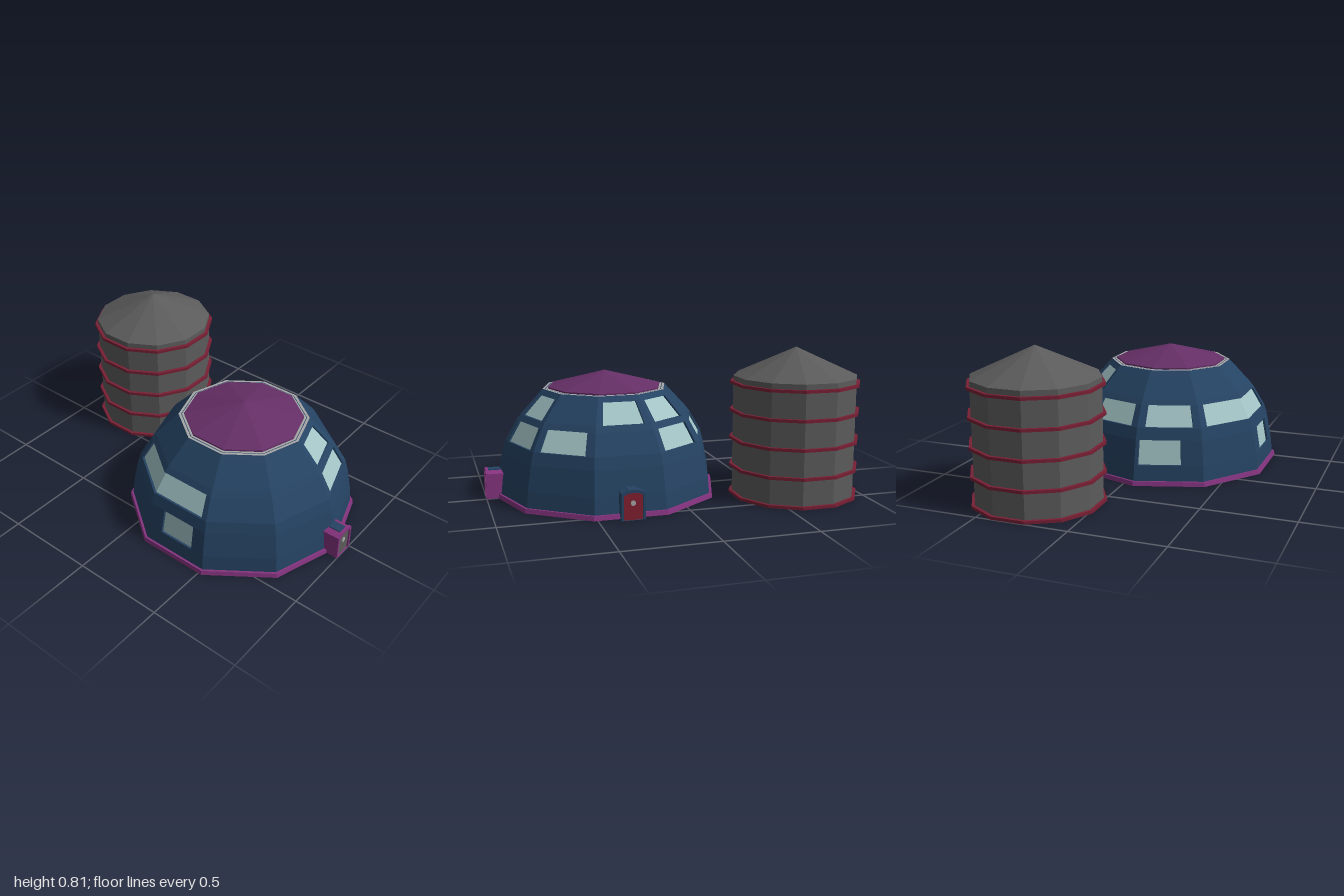
import * as THREE from 'three';

const mat = (name, color) => {
  const m = new THREE.MeshStandardMaterial({ color });
  m.name = name;
  return m;
};

export function createModel() {
  const M = {
    wall: mat('wall blue', 0x254363),
    roof: mat('roof purple', 0x652f66),
    trim: mat('trim purple', 0x85337f),
    glass: mat('pale glass', 0xa2c3c5),
    silver: mat('light grey', 0xa6a6a8),
    silo: mat('silo grey', 0x5b5b5b),
    band: mat('band red', 0x781f34),
    doorRed: mat('door red', 0x80202f),
  };
  const model = new THREE.Group();
  model.name = 'domeHouseAndSilo';

  const add = (parent, name, geo, material, x = 0, y = 0, z = 0) => {
    let g = geo;
    if (g.index) g = g.toNonIndexed();
    g.computeVertexNormals(); // faceted normals
    const mesh = new THREE.Mesh(g, material);
    mesh.name = name;
    mesh.position.set(x, y, z);
    parent.add(mesh);
    return mesh;
  };
  // Prism or cone standing on y0, half a side turned so sides face the axes as needed
  const prism = (parent, name, material, rBottom, rTop, y0, h, sides) => {
    const g = new THREE.CylinderGeometry(rTop, rBottom, h, sides);
    g.rotateY(Math.PI / sides);
    return add(parent, name, g, material, 0, y0 + h / 2, 0);
  };

  // Silo
  const silo = new THREE.Group();
  silo.name = 'silo';
  silo.position.set(-0.655, 0, -0.325);
  model.add(silo);
  prism(silo, 'siloBody', M.silo, 0.339, 0.339, 0.01, 0.65, 12);
  prism(silo, 'siloRoof', M.silo, 0.339, 0, 0.66, 0.155, 12);
  for (let i = 0; i < 5; i++) prism(silo, 'siloBand', M.band, 0.357, 0.357, i * 0.154, 0.016, 12);

  // Dome
  const dome = new THREE.Group();
  dome.name = 'domeHouse';
  dome.position.set(0.325, 0, 0.06);
  model.add(dome);
  const rows = [[0.02, 0.615], [0.11, 0.605], [0.245, 0.579], [0.31, 0.56], [0.42, 0.495],
    [0.45, 0.472], [0.555, 0.374], [0.58, 0.35]];
  // Windows by row, then facet: [start, end] across the facet (facet 0 is right-back, counting to the back)
  const windows = {
    1: { 5: [0.05, 0.68], 7: [0.25, 0.79] },
    3: { 0: [0.12, 0.89], 1: [0.1, 0.85], 3: [0.12, 0.88], 4: [0.12, 0.88], 5: [0.12, 0.88], 6: [0.12, 1], 7: [0, 0.91] },
    5: { 0: [0.12, 0.87], 2: [0.12, 0.88], 3: [0.12, 0.88] },
  };
  const corner = (k, t, [y, r], inset = 0) => {
    const a = (k * Math.PI) / 5, b = ((k + 1) * Math.PI) / 5, q = r - inset;
    return [q * (Math.cos(a) * (1 - t) + Math.cos(b) * t), y, -q * (Math.sin(a) * (1 - t) + Math.sin(b) * t)];
  };
  const cell = (k, t0, t1, lo, hi, inset) =>
    [corner(k, t0, lo, inset), corner(k, t1, lo, inset), corner(k, t1, hi, inset), corner(k, t0, hi, inset)];
  const wallPos = [], glassPos = [];
  const quad = (out, [a, b, c, d]) => out.push(...a, ...b, ...c, ...a, ...c, ...d);
  for (let k = 0; k < 10; k++) {
    for (let i = 0; i < rows.length - 1; i++) {
      const lo = rows[i], hi = rows[i + 1], w = windows[i]?.[k];
      if (!w) { quad(wallPos, cell(k, 0, 1, lo, hi)); continue; }
      const [t0, t1] = w;
      if (t0 > 0) quad(wallPos, cell(k, 0, t0, lo, hi));
      if (t1 < 1) quad(wallPos, cell(k, t1, 1, lo, hi));
      // Recessed pane with reveals, open where it wraps a corner
      const o = cell(k, t0, t1, lo, hi), p = cell(k, t0, t1, lo, hi, 0.012);
      quad(glassPos, p);
      for (let j = 0; j < 4; j++) {
        if ((j === 1 && t1 === 1) || (j === 3 && t0 === 0)) continue;
        const n = (j + 1) % 4;
        quad(wallPos, [o[j], o[n], p[n], p[j]]);
      }
    }
  }
  const soup = (positions) => new THREE.BufferGeometry()
    .setAttribute('position', new THREE.Float32BufferAttribute(positions, 3));
  add(dome, 'domeWall', soup(wallPos), M.wall);
  add(dome, 'windows', soup(glassPos), M.glass);
  prism(dome, 'baseTrim', M.trim, 0.632, 0.627, 0, 0.024, 10);
  prism(dome, 'domeTop', M.wall, 0.35, 0.346, 0.574, 0.007, 10);
  // Two pale rings under the cap
  for (const [inner, outer] of [[0.334, 0.348], [0.3, 0.33]]) {
    const g = new THREE.RingGeometry(inner, outer, 10, 1);
    g.rotateX(-Math.PI / 2);
    add(dome, 'capRing', g, M.silver, 0, 0.584, 0);
  }
  prism(dome, 'capRoof', M.roof, 0.318, 0, 0.592, 0.083, 10);
  prism(dome, 'capRim', M.roof, 0.318, 0.318, 0.584, 0.008, 10);

  // Gabled entrance porches, facing local +z with the door at z = 0
  const gable = (w, shoulder, peak) => {
    const s = new THREE.Shape();
    s.moveTo(-w, 0);
    s.lineTo(w, 0);
    s.lineTo(w, shoulder);
    s.lineTo(w * 0.45, peak);
    s.lineTo(-w * 0.45, peak);
    s.lineTo(-w, shoulder);
    s.closePath();
    return s;
  };
  const porch = (name, frameMat, doorMat, depth, x, z, angle) => {
    const g = new THREE.Group();
    g.name = name;
    g.position.set(x, 0, z);
    g.rotation.y = angle;
    model.add(g);
    const slab = (part, shape, d, m, z0) =>
      add(g, part, new THREE.ExtrudeGeometry(shape, { depth: d, bevelEnabled: false }), m, 0, 0, z0);
    slab('porchBody', gable(0.06, 0.138, 0.152), depth - 0.014, frameMat, -depth);
    const frame = gable(0.063, 0.142, 0.157);
    frame.holes.push(gable(0.05, 0.13, 0.142));
    slab('porchFrame', frame, 0.016, frameMat, -0.016);
    slab('door', gable(0.05, 0.13, 0.142), 0.006, doorMat, -0.014);
    add(g, 'porchRoof', new THREE.BoxGeometry(0.054, 0.006, depth - 0.02), M.wall, 0, 0.154, -depth / 2 - 0.008);
    const knob = new THREE.CylinderGeometry(0.014, 0.014, 0.006, 8);
    knob.rotateX(Math.PI / 2);
    add(g, 'doorLight', knob, M.silver, 0, 0.088, -0.006);
  };
  porch('sidePorch', M.trim, M.silo, 0.13, 1.0, 0.06, Math.PI / 2);
  porch('backPorch', M.wall, M.doorRed, 0.1, 0.325, -0.58, Math.PI);

  return model;
}
